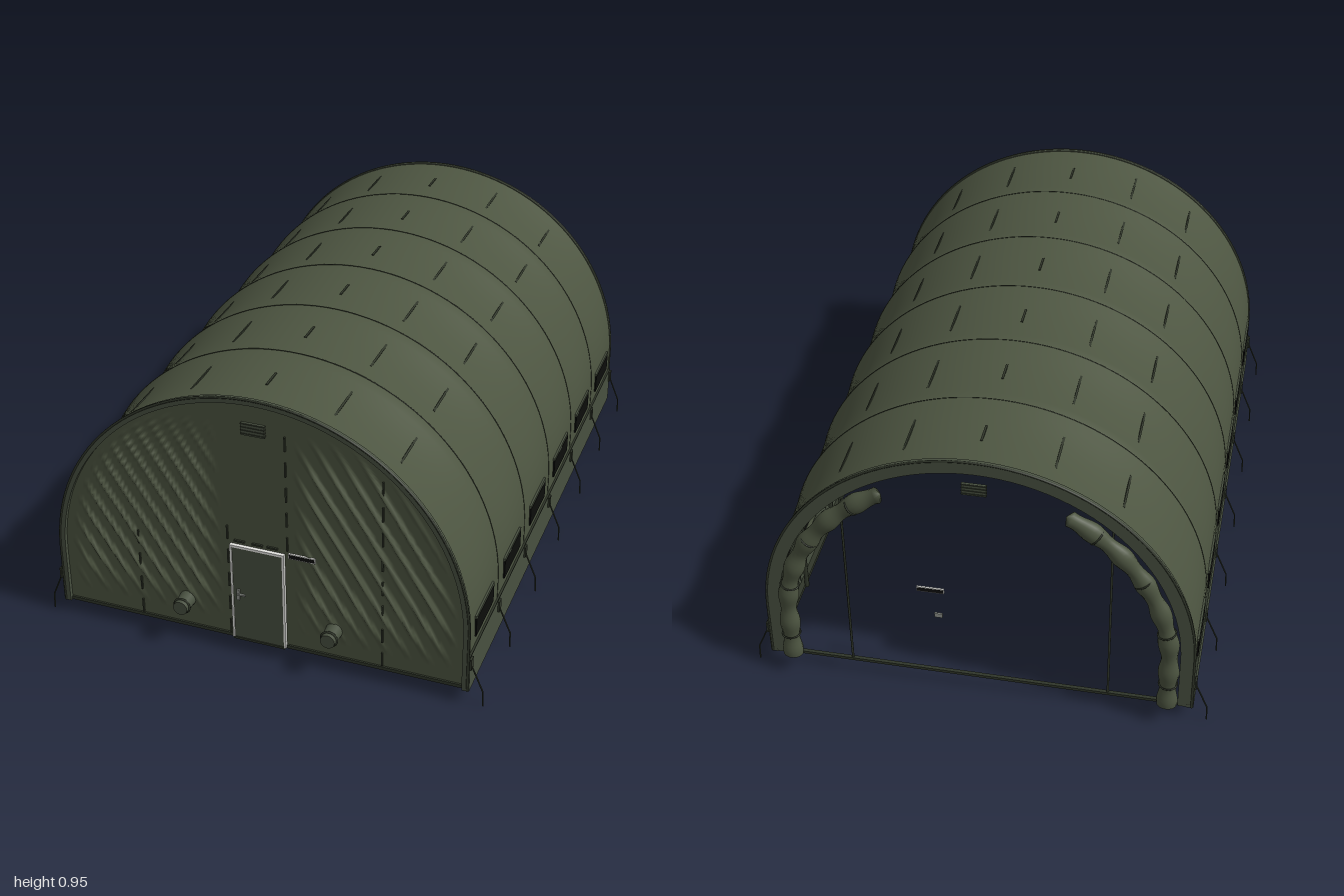
import * as THREE from 'three';
import { ParametricGeometry } from 'three/addons/geometries/ParametricGeometry.js';

const R = 0.69, BASE = 0.05, SPRING = 0.255, END = 0.95, BAYS = 6;
const mat = (name, color, side = THREE.FrontSide) => {
  const m = new THREE.MeshStandardMaterial({ color, side });
  m.name = name;
  return m;
};

// Point on the arch outline: straight legs up to the spring line, then a half circle
function arch(t, r) {
  const leg = SPRING - BASE, total = 2 * leg + Math.PI * r, s = t * total;
  if (s < leg) return [r, BASE + s];
  if (s > total - leg) return [-r, BASE + total - s];
  const a = (s - leg) / r;
  return [r * Math.cos(a), SPRING + r * Math.sin(a)];
}

class ArchCurve extends THREE.Curve {
  constructor(r, z, t0 = 0, t1 = 1) { super(); Object.assign(this, { r, z, t0, t1 }); }
  getPoint(t, target = new THREE.Vector3()) {
    const [x, y] = arch(this.t0 + (this.t1 - this.t0) * t, this.r);
    return target.set(x, y, this.z);
  }
}

// Flat band between two concentric arches
function archBand(outer, inner, depth) {
  const pts = [];
  for (let i = 0; i <= 64; i++) pts.push(new THREE.Vector2(...arch(i / 64, outer)));
  for (let i = 64; i >= 0; i--) pts.push(new THREE.Vector2(...arch(i / 64, inner)));
  return new THREE.ExtrudeGeometry(new THREE.Shape(pts), { depth, bevelEnabled: false });
}

export function createModel() {
  const group = new THREE.Group();
  const canvas = mat('olive canvas', 0x4d5541, THREE.DoubleSide);
  const green = mat('olive fittings', 0x485040);
  const dark = mat('dark green frame', 0x2f3529);
  const black = mat('black mesh', 0x0c0d0b);
  const white = mat('white trim', 0xe8e8e4);
  const grey = mat('grey metal', 0x8e928c);

  const add = (name, geo, m, x = 0, y = 0, z = 0) => {
    const mesh = new THREE.Mesh(geo, m);
    mesh.name = name;
    mesh.position.set(x, y, z);
    group.add(mesh);
    return mesh;
  };
  const box = (name, m, w, h, d, x, y, z) => add(name, new THREE.BoxGeometry(w, h, d), m, x, y, z);
  const rod = (name, m, a, b, r) => {
    const p = new THREE.Vector3(...a), q = new THREE.Vector3(...b);
    const mesh = add(name, new THREE.CylinderGeometry(r, r, p.distanceTo(q), 6), m);
    mesh.position.copy(p).add(q).multiplyScalar(0.5);
    mesh.quaternion.setFromUnitVectors(new THREE.Vector3(0, 1, 0), q.sub(p).normalize());
    return mesh;
  };

  // Roof canvas, sagging a little between the ribs
  add('roofCanvas', new ParametricGeometry((u, v, p) => {
    const [, y] = arch(u, R);
    const sag = 0.012 * Math.abs(Math.sin(BAYS * Math.PI * v)) * THREE.MathUtils.smoothstep(y, 0.25, 0.6);
    const [x, yy] = arch(u, R);
    const k = 1 - sag / R;
    p.set(x * k, yy > SPRING ? SPRING + (yy - SPRING) * k : yy, -END + 2 * END * v);
  }, 72, 48), canvas);

  // Front wall with diagonal folds on both sides of the door
  const wallR = 0.682;
  const step = THREE.MathUtils.smoothstep;
  add('frontWall', new ParametricGeometry((u, v, p) => {
    const y = BASE + v * (SPRING + wallR - BASE);
    const half = y < SPRING ? wallR : Math.sqrt(Math.max(0, wallR ** 2 - (y - SPRING) ** 2));
    const x = (2 * u - 1) * half, ax = Math.abs(x);
    const mask = step(ax, 0.12, 0.2) * step(half - ax, 0.03, 0.1) * step(y, 0.1, 0.25) * (1 - step(y, 0.68, 0.85));
    const wave = Math.max(0, Math.sin(2 * Math.PI * (1.6 * x + y) / 0.11)) ** 2;
    p.set(x, y, 0.936 + 0.011 * wave * mask);
  }, 150, 50), canvas);

  // End trims
  add('frontTrim', archBand(0.692, 0.672, 0.014), green, 0, 0, 0.938);
  add('rearTrim', archBand(0.692, 0.645, 0.012), green, 0, 0, -END);
  for (const z of [-END, END]) add('endPiping', new THREE.TubeGeometry(new ArchCurve(0.69, z), 72, 0.004, 6), dark);

  // Ribs with their outer seams, tie-down straps and pegs
  for (let i = 0; i <= BAYS; i++) {
    const z = -END + (2 * END * i) / BAYS, zi = THREE.MathUtils.clamp(z, -0.93, 0.92);
    add('rib', new THREE.TubeGeometry(new ArchCurve(0.668, zi), 64, 0.008, 6), dark);
    if (i > 0 && i < BAYS) add('ribSeam', new THREE.TubeGeometry(new ArchCurve(0.6895, z), 72, 0.002, 5), dark);
    for (const s of [-1, 1]) {
      const zt = THREE.MathUtils.clamp(z, -0.943, 0.943);
      box('strapPlate', dark, 0.006, 0.04, 0.022, s * 0.699, 0.155, zt);
      rod('tieDown', dark, [s * 0.7, 0.145, zt], [s * 0.738, 0.055, zt], 0.0025);
      rod('peg', dark, [s * 0.738, 0.057, zt], [s * 0.74, 0, zt], 0.0025);
    }
  }

  // Purlins running the length, with a stitched mark on the roof of each bay
  for (const px of [-0.445, -0.235, 0, 0.235, 0.445]) {
    const a = Math.acos(px / R), c = Math.cos(a), sn = Math.sin(a);
    rod('purlin', dark, [0.668 * c, SPRING + 0.668 * sn, -0.94], [0.668 * c, SPRING + 0.668 * sn, 0.93], 0.007);
    for (let i = 0; i < BAYS; i++) {
      const z = -END + 2 * END * (i + 0.5) / BAYS;
      const mark = box('roofStitch', dark, 0.007, 0.005, px ? 0.15 : 0.075, 0.679 * c, SPRING + 0.679 * sn, z);
      mark.rotation.z = a - Math.PI / 2;
    }
  }

  // Long sides: skirt, rails, mesh vents under rolled flaps
  for (const s of [-1, 1]) {
    box('skirt', green, 0.007, 0.13, 1.9, s * 0.6925, 0.115, 0);
    box('skirtSeam', dark, 0.008, 0.004, 1.9, s * 0.693, 0.181, 0);
    box('bottomRail', dark, 0.02, 0.014, 1.9, s * 0.682, 0.055, 0);
    rod('sideRail', dark, [s * 0.668, 0.3, -0.94], [s * 0.668, 0.3, 0.93], 0.007);
    for (let i = 0; i < BAYS; i++) {
      const z = -END + 2 * END * (i + 0.5) / BAYS;
      box('sideVent', black, 0.006, 0.064, 0.19, s * 0.692, 0.247, z);
      box('ventFlap', green, 0.01, 0.01, 0.19, s * 0.69, 0.286, z);
    }
  }
  box('frontSill', dark, 1.36, 0.012, 0.014, 0, 0.055, 0.935);
  box('rearSill', dark, 1.36, 0.01, 0.012, 0, 0.055, -0.94);

  // Door with white surround, handle and plate
  box('door', green, 0.172, 0.35, 0.008, 0, 0.227, 0.943);
  for (const s of [-1, 1]) box('doorJamb', white, 0.007, 0.355, 0.012, s * 0.0875, 0.23, 0.944);
  box('doorHead', white, 0.182, 0.008, 0.012, 0, 0.407, 0.944);
  box('doorSill', dark, 0.175, 0.008, 0.012, 0, 0.052, 0.944);
  box('handlePlate', grey, 0.01, 0.04, 0.006, -0.067, 0.225, 0.949);
  box('handle', grey, 0.028, 0.006, 0.006, -0.056, 0.228, 0.953);
  for (const x of [-0.06, 0, 0.05]) box('doorHeadTab', dark, 0.035, 0.006, 0.006, x, 0.424, 0.94);

  // Signs and ridge vents at both ends
  for (const z of [0.942, -0.945]) {
    box('signBorder', white, 0.088, 0.018, 0.006, 0.148, 0.41, z);
    box('signFace', black, 0.082, 0.012, 0.008, 0.148, 0.41, z);
    box('ridgeVent', green, 0.076, 0.042, 0.008, 0, 0.84, z);
    for (let i = 0; i < 4; i++) box('ventSlat', dark, 0.078, 0.003, 0.012, 0, 0.825 + i * 0.011, z);
  }
  box('rearTag', grey, 0.026, 0.016, 0.006, 0.125, 0.305, -0.945);

  // Vertical seams on the front wall
  for (const [x, y0, y1] of [[-0.41, 0.06, 0.42], [0.41, 0.06, 0.71], [0.1, 0.42, 0.83], [-0.1, 0.06, 0.5]])
    for (let y = y0; y < y1 - 0.02; y += 0.09) box('wallSeam', dark, 0.005, 0.05, 0.006, x, y + 0.03, 0.94);

  // Round duct ports beside the door
  for (const x of [-0.25, 0.25]) {
    add('ductPort', new THREE.CylinderGeometry(0.024, 0.028, 0.06, 20), green, x, 0.157, 0.968).rotation.x = Math.PI / 2;
    add('ductCollar', new THREE.TorusGeometry(0.026, 0.004, 6, 20), dark, x, 0.157, 0.982);
  }

  // Rear opening: thin posts and the curtains rolled up along both sides
  for (const s of [-1, 1]) {
    rod('rearPost', dark, [s * 0.42, 0.05, -0.94], [s * 0.42, 0.77, -0.94], 0.004);
    const t0 = s > 0 ? 0.004 : 0.996, t1 = s > 0 ? 0.375 : 0.625;
    const path = new ArchCurve(0.612, -0.968, t0, t1);
    add('rolledCurtain', new ParametricGeometry((u, v, p) => {
      const c = path.getPoint(v), tan = path.getTangent(v), a = u * 2 * Math.PI;
      const bulge = v < 0.001 || v > 0.999 ? 0 : 1 + 0.14 * Math.sin(v * 44);
      const w = 0.03 * bulge * Math.cos(a), d = 0.025 * bulge * Math.sin(a);
      p.set(c.x - tan.y * w, c.y + tan.x * w, c.z + d);
    }, 14, 60), canvas);
    for (const v of [0.12, 0.37, 0.62, 0.87]) {
      const c = path.getPoint(v), tan = path.getTangent(v);
      const tie = add('curtainTie', new THREE.TorusGeometry(0.029, 0.003, 5, 18), dark, c.x, c.y, c.z);
      tie.quaternion.setFromUnitVectors(new THREE.Vector3(0, 0, 1), tan);
    }
  }
  return group;
}
